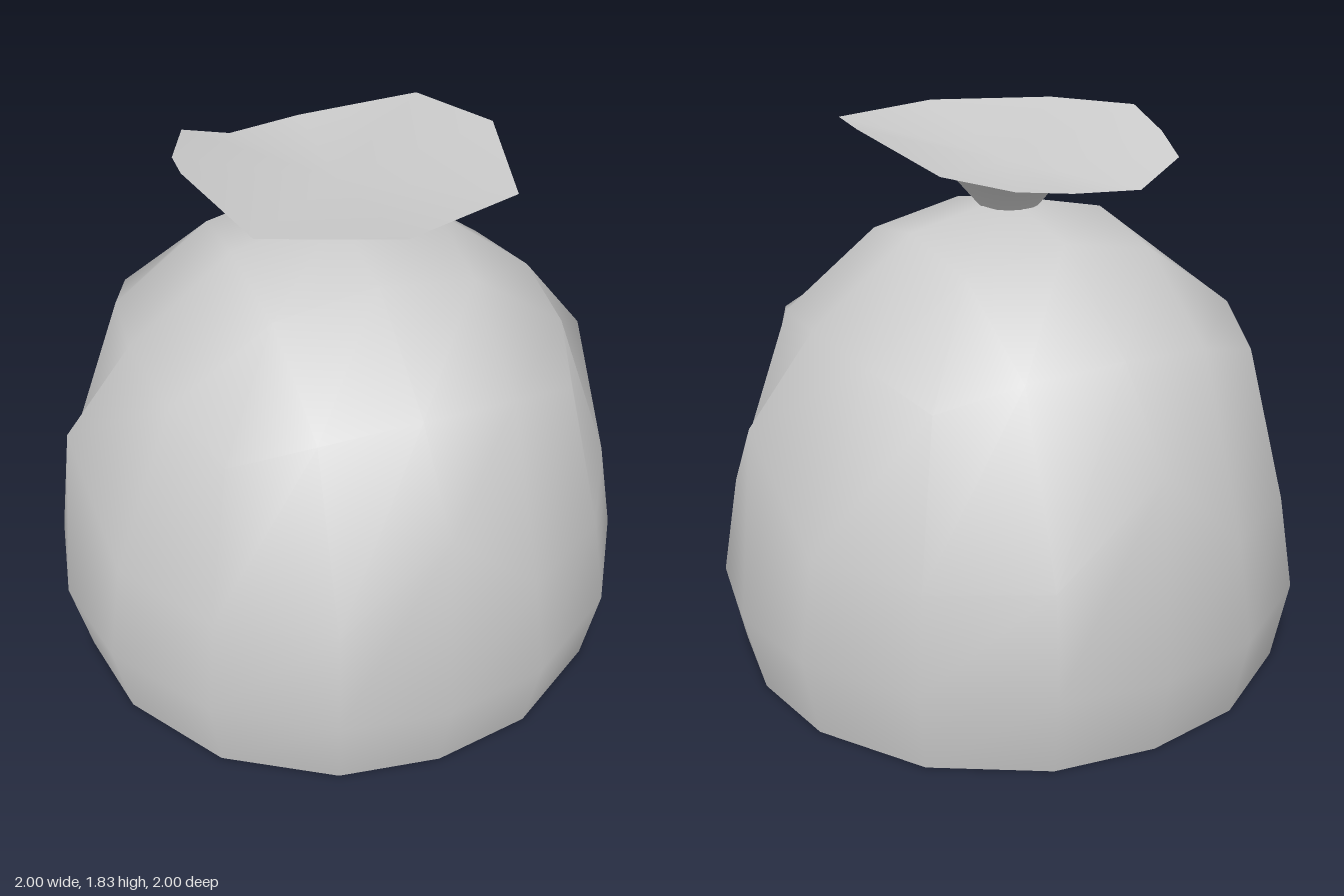
import * as THREE from 'three';
import { toCreasedNormals } from 'three/addons/utils/BufferGeometryUtils.js';

const material = new THREE.MeshStandardMaterial({ color: 0xcccccc, side: THREE.DoubleSide });

function makeMesh(name, positions, crease) {
  const flat = new THREE.BufferGeometry();
  flat.setAttribute('position', new THREE.Float32BufferAttribute(positions, 3));
  const mesh = new THREE.Mesh(toCreasedNormals(flat, crease), material);
  mesh.name = name;
  return mesh;
}

// One point of a rounded cube, with a flattened base and stretched shoulders
function bagPoint(u, v, orient) {
  const ease = (a, b) => (Math.abs(a) === 0.5 ? Math.sign(a) * (Math.abs(b) === 1 ? 0.48 : 0.38) : a);
  const p = orient(new THREE.Vector3(ease(u, v), ease(v, u), 1)).normalize();
  let y = 0.28 + p.y;
  if (p.y > 0.35) y += 0.24 + 0.18 * Math.abs(p.y - 0.707);
  if (p.y < -0.3) y = 0;
  return [p.x, y, p.z].map((c) => Math.round(c * 1000) / 1000);
}

function bag() {
  const up = new THREE.Vector3(0, 1, 0);
  const faces = [0, 1, 2, 3].map((k) => (p) => p.applyAxisAngle(up, (k * Math.PI) / 2));
  faces.push((p) => p.set(p.x, p.z, -p.y), (p) => p.set(p.x, -p.z, p.y));
  const out = [];
  for (const f of faces) {
    for (let u = -1; u < 1; u += 0.5) {
      for (let v = -1; v < 1; v += 0.5) {
        const a = bagPoint(u, v, f), b = bagPoint(u + 0.5, v, f);
        const c = bagPoint(u + 0.5, v + 0.5, f), d = bagPoint(u, v + 0.5, f);
        out.push(...a, ...b, ...c, ...a, ...c, ...d);
      }
    }
  }
  return makeMesh('bag', out, 1.15);
}

// Gathered neck flaring to an uneven rim, closed by a shallow hollow
function collar() {
  const rim = [
    [-0.02, 1.79, 0.6], [0.39, 1.79, 0.47], [0.5, 1.83, 0.07], [0.43, 1.76, -0.36],
    [0.23, 1.71, -0.45], [0.05, 1.69, -0.48], [-0.2, 1.67, -0.47], [-0.38, 1.74, -0.41],
    [-0.48, 1.77, -0.17], [-0.51, 1.82, 0.04], [-0.42, 1.79, 0.44],
  ];
  const ring = (radius, height) => rim.map(([x, , z]) => {
    const s = radius / Math.hypot(x, z);
    return [x * s, height(z), z * s];
  });
  const rows = [
    ring(0.1, () => 1.55),
    ring(0.18, (z) => 1.645 - 0.05 * Math.max(z, 0)),
    rim,
  ];
  const outside = [], inside = [];
  const n = rim.length;
  for (let i = 0; i < n; i++) {
    const j = (i + 1) % n;
    for (let r = 0; r < 2; r++) {
      const a = rows[r][i], b = rows[r][j], c = rows[r + 1][j], d = rows[r + 1][i];
      outside.push(...a, ...b, ...c, ...a, ...c, ...d);
    }
    inside.push(0, 1.69, 0, ...rim[i], ...rim[j]);
  }
  const group = new THREE.Group();
  group.name = 'collar';
  group.add(makeMesh('collarOutside', outside, 1.2), makeMesh('collarInside', inside, 1.2));
  return group;
}

export function createModel() {
  const model = new THREE.Group();
  model.name = 'tiedSack';
  model.add(bag(), collar());
  return model;
}
